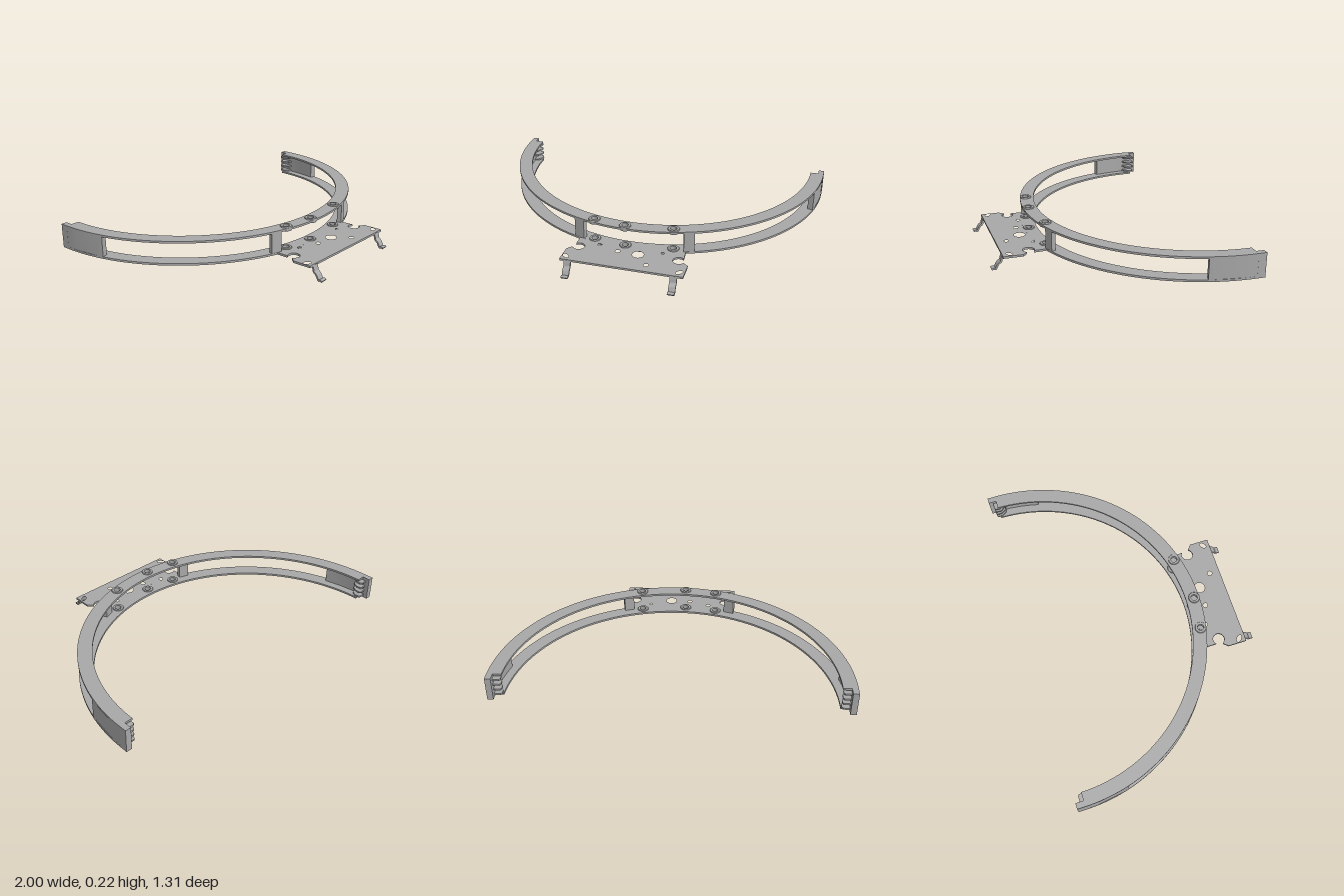
import * as THREE from 'three';
import { toCreasedNormals } from 'three/addons/utils/BufferGeometryUtils.js';

const CZ = -0.61;            // z of the arc centre
const LOW = 0.079, HIGH = 0.207, THICK = 0.012, TOP = HIGH + THICK;

export function createModel() {
  const model = new THREE.Group();
  model.name = 'curvedBracket';
  const grey = new THREE.MeshStandardMaterial({ color: 0xa8a8a8 });
  grey.name = 'plain grey';

  const add = (name, geometry, parent = model) => {
    const mesh = new THREE.Mesh(toCreasedNormals(geometry, 0.5), grey);
    mesh.name = name;
    parent.add(mesh);
    return mesh;
  };

  // Flat slab: the shape is drawn in (x, -z) and raised from y0 to y1
  const slab = (shape, y0, y1) => {
    const g = new THREE.ExtrudeGeometry(shape, { depth: y1 - y0, bevelEnabled: false, curveSegments: 72 });
    return g.rotateX(-Math.PI / 2).translate(0, y0, 0);
  };

  // Ring sector between two radii; angles measured in the drawing plane
  const sector = (r0, r1, a0, a1) => {
    const s = new THREE.Shape();
    s.absarc(0, -CZ, r1, a0, a1, false);
    s.absarc(0, -CZ, r0, a1, a0, true);
    return s;
  };
  const hole = (x, z, rx, ry = rx, turn = 0) => {
    const p = new THREE.Path();
    p.absellipse(x, -z, rx, ry, 0, Math.PI * 2, true, turn);
    return p;
  };

  // Upper and lower half rings with bushing holes
  const bushings = [[-0.218, 0.332], [-0.027, 0.358], [0.246, 0.323]];
  const ring = sector(0.918, 1, Math.PI, Math.PI * 2);
  for (const [x, z] of bushings) ring.holes.push(hole(x, z, 0.024));
  add('lowerRing', slab(ring, LOW, LOW + THICK));
  add('upperRing', slab(ring, HIGH, TOP));

  // Bushings in both rings
  const profile = [[0.019, 0], [0.032, 0], [0.034, 0.003], [0.034, 0.023], [0.032, 0.026], [0.019, 0.026], [0.019, 0]]
    .map(([r, y]) => new THREE.Vector2(r, y));
  for (const [x, z] of bushings) {
    for (const y of [0.071, 0.2]) {
      add('bushing', new THREE.LatheGeometry(profile, 28).translate(x, y, z));
    }
  }

  // Pillars between the rings
  for (const [x0, x1] of [[-0.34, -0.28], [0.31, 0.368]]) {
    add('pillar', slab(sector(0.972, 0.999, -Math.acos(x0), -Math.acos(x1)), LOW + THICK, HIGH));
  }

  // End walls with a flat outer panel, an end tab and locking fins
  const deg = Math.PI / 180;
  for (const side of [-1, 1]) {
    const end = new THREE.Group();
    end.name = side > 0 ? 'leftEnd' : 'rightEnd';
    model.add(end);
    const wall = new THREE.Shape();
    [[0.9995, 0], [0.9995, 2], [0.9995, 4], [0.9995, 13], [0.9995, 15.1],
      [0.966, 15.1], [0.966, 12], [0.966, 8], [0.966, 4], [0.966, 0]].forEach(([r, a], i) => {
      const x = side * r * Math.cos(a * deg), y = -CZ - r * Math.sin(a * deg);
      if (i) wall.lineTo(x, y); else wall.moveTo(x, y);
    });
    add('endWall', slab(wall, LOW + THICK, HIGH), end);
    add('endTab', new THREE.BoxGeometry(0.034, TOP - LOW, 0.046)
      .translate(side * 0.983, (LOW + TOP) / 2, CZ - 0.023), end);
    for (const y of [0.098, 0.13, 0.162, 0.194]) {
      const fin = new THREE.Shape();
      [[0.97, 0.632], [0.93, 0.632], [0.922, 0.624], [0.922, 0.598], [0.94, 0.57], [0.97, 0.56]]
        .forEach(([x, v], i) => (i ? fin.lineTo(side * x, v) : fin.moveTo(side * x, v)));
      add('lockingFin', slab(fin, y - 0.005, y + 0.005), end);
    }
  }

  // Mounting plate, with round bites at both sides
  const plate = new THREE.Shape();
  plate.absarc(0, -CZ, 1, -Math.acos(-0.305), -Math.acos(0.322), false);
  plate.lineTo(0.328, -0.412);
  plate.absarc(0.305, -0.437, 0.034, 47 * deg, 332 * deg, false);
  plate.lineTo(0.365, -0.478);
  plate.lineTo(0.365, -0.592);
  plate.lineTo(-0.34, -0.592);
  plate.lineTo(-0.34, -0.48);
  plate.lineTo(-0.315, -0.452);
  plate.absarc(-0.28, -0.437, 0.034, 223 * deg, 495 * deg, false);
  plate.lineTo(-0.305, -0.4);
  plate.holes.push(
    hole(0.07, 0.437, 0.033), hole(-0.05, 0.433, 0.014), hole(0.142, 0.53, 0.014),
    hole(-0.17, 0.392, 0.012), hole(0.2, 0.386, 0.009),
    hole(-0.315, 0.555, 0.024, 0.013, -40 * deg), hole(0.335, 0.552, 0.022, 0.013, 40 * deg));
  add('mountingPlate', slab(plate, LOW, LOW + THICK));

  // Bent spring feet: a curve in (z, y) given thickness and width
  const path = new THREE.SplineCurve([[0.588, 0.085], [0.594, 0.066], [0.598, 0.05], [0.613, 0.037], [0.622, 0.022],
    [0.63, 0.008], [0.642, 0.011], [0.652, 0.006]].map(([z, y]) => new THREE.Vector2(z, y)));
  const near = [], far = [];
  for (let i = 0; i <= 28; i++) {
    const p = path.getPoint(i / 28), t = path.getTangent(i / 28);
    const n = new THREE.Vector2(-t.y, t.x).multiplyScalar(0.005);
    near.push(p.clone().add(n));
    far.unshift(p.clone().sub(n));
  }
  for (const x of [-0.294, 0.312]) {
    const foot = new THREE.ExtrudeGeometry(new THREE.Shape([...near, ...far]), { depth: 0.04, bevelEnabled: false });
    add('springFoot', foot.rotateY(-Math.PI / 2).translate(x + 0.02, 0, 0));
  }
  return model;
}
